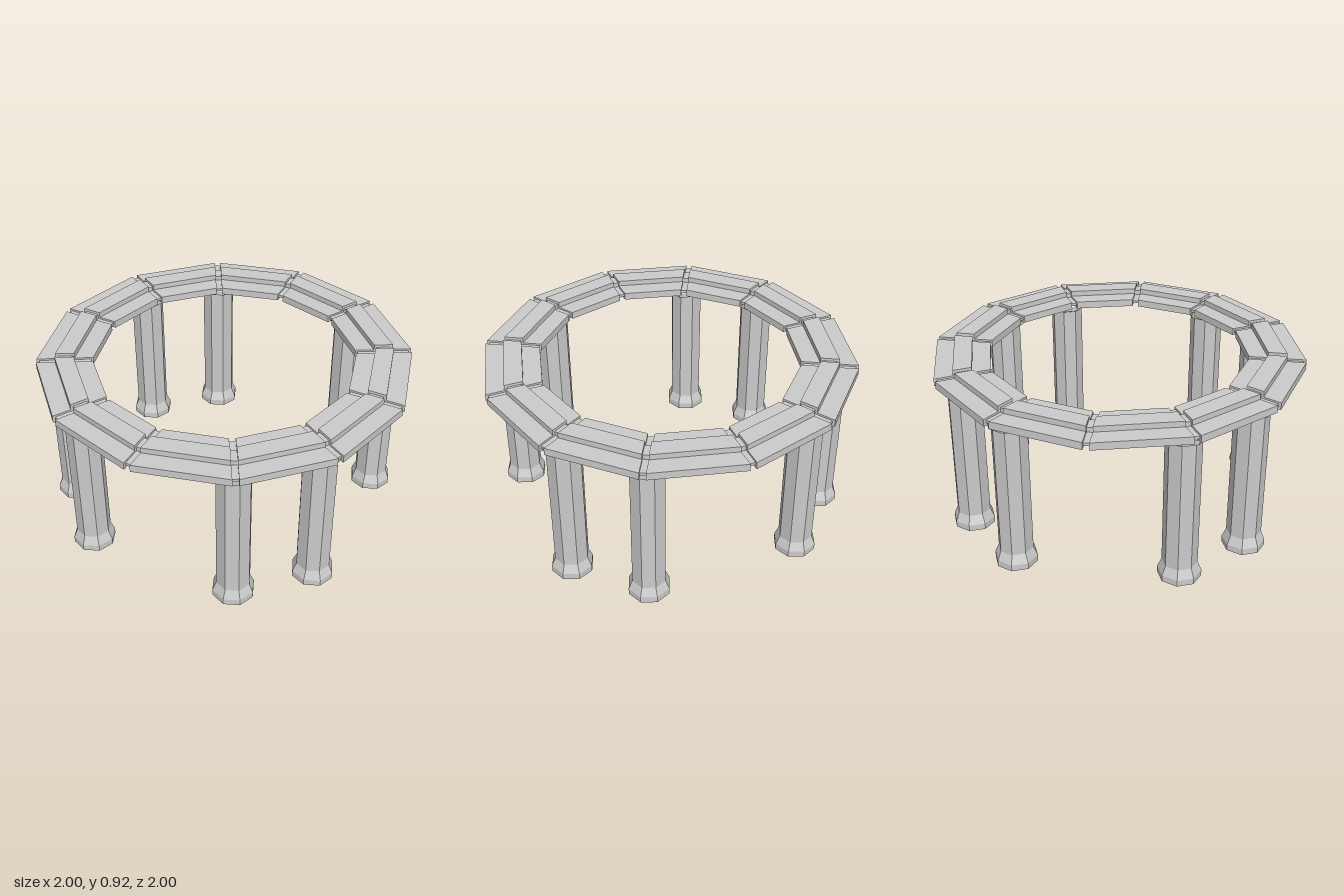
import * as THREE from 'three';

const SEGMENTS = 12;
const STEP = (Math.PI * 2) / SEGMENTS;
const HALF_GAP = 0.016;

const stone = new THREE.MeshStandardMaterial({ color: 0xcccccc, flatShading: true });

function add(parent, name, geometry) {
  const mesh = new THREE.Mesh(geometry, stone);
  mesh.name = name;
  parent.add(mesh);
  return mesh;
}

// Mitred straight slab between two joints, its length along x and centred on +z
function slabGeometry(inner, outer, bottom, top) {
  const a = STEP / 2;
  const corner = (r, side) => new THREE.Vector2(
    side * (r * Math.sin(a) - HALF_GAP * Math.cos(a)),
    -(r * Math.cos(a) + HALF_GAP * Math.sin(a))
  );
  const shape = new THREE.Shape([
    corner(inner, -1), corner(outer, -1), corner(outer, 1), corner(inner, 1)
  ]);
  const geometry = new THREE.ExtrudeGeometry(shape, { depth: top - bottom, bevelEnabled: false });
  return geometry.rotateX(-Math.PI / 2).translate(0, bottom, 0);
}

// Recessed bar filling the gap between neighbouring slabs
function jointGeometry(inner, outer, bottom, top) {
  return new THREE.BoxGeometry(HALF_GAP * 2 + 0.004, top - bottom, outer - inner)
    .translate(0, (top + bottom) / 2, (inner + outer) / 2);
}

export function createModel() {
  const model = new THREE.Group();
  model.name = 'columnRing';

  // Ring of slabs: wide lower course with a narrow raised course in the middle
  const lower = slabGeometry(0.7, 1, 0.85, 0.89);
  const raised = slabGeometry(0.8, 0.9, 0.89, 0.92);
  const lowerJoint = jointGeometry(0.71, 0.985, 0.865, 0.88);
  const raisedJoint = jointGeometry(0.81, 0.885, 0.88, 0.905);
  const ring = new THREE.Group();
  ring.name = 'ring';
  model.add(ring);
  for (let i = 0; i < SEGMENTS; i++) {
    const mid = (i + 0.5) * STEP;
    add(ring, 'lowerSlab', lower).rotation.y = mid;
    add(ring, 'raisedSlab', raised).rotation.y = mid;
    add(ring, 'lowerJoint', lowerJoint).rotation.y = i * STEP;
    add(ring, 'raisedJoint', raisedJoint).rotation.y = i * STEP;
  }

  // Octagonal columns with flared base and cap, in pairs on the diagonals
  const profile = [
    [0, 0], [0.113, 0], [0.113, 0.035], [0.092, 0.085], [0.092, 0.805],
    [0.113, 0.815], [0.113, 0.842], [0.107, 0.85], [0, 0.85]
  ].map(([r, y]) => new THREE.Vector2(r, y));
  const column = new THREE.LatheGeometry(profile, 8);
  for (let i = 0; i < SEGMENTS; i++) {
    if (i % 3 === 0) continue;
    add(model, 'column', column)
      .position.set(0.85 * Math.sin(i * STEP), 0, 0.85 * Math.cos(i * STEP));
  }

  return model;
}
